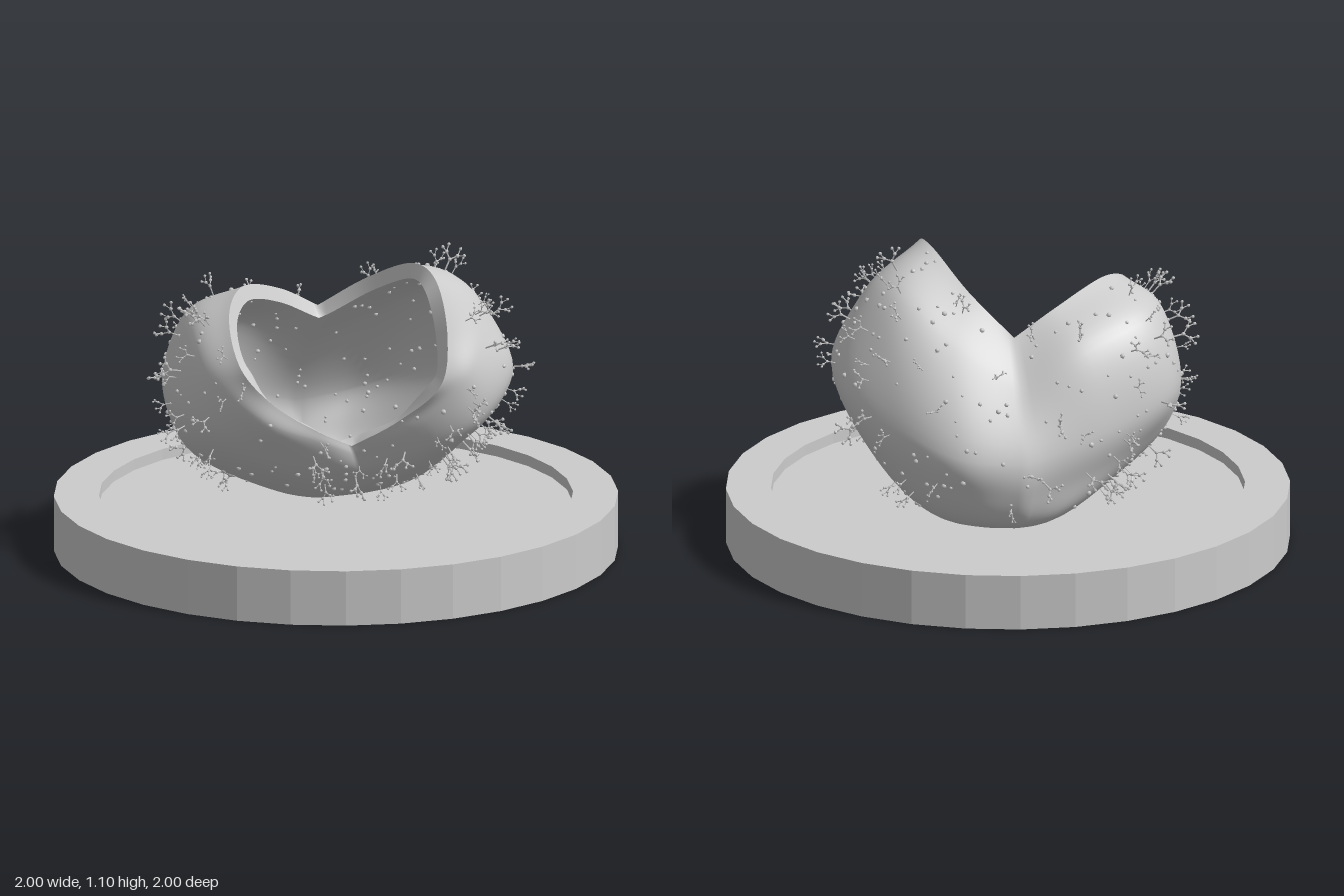
import * as THREE from 'three';
import { mergeGeometries } from 'three/addons/utils/BufferGeometryUtils.js';

const COLS = 112, ROWS = 40, WALL = 0.055;

// Control loops, clockwise from above: back notch, right lobe, front notch, left lobe
const RIM = [
  [-.14, .83, -.19], [.06, .96, -.17], [.28, 1.06, -.06], [.4, 1.03, .05], [.47, .86, .13], [.47, .7, .19], [.31, .55, .19],
  [.12, .43, .16], [.05, .51, .3], [-.07, .64, .45], [-.17, .77, .5], [-.27, .92, .36], [-.29, .98, .18], [-.23, .92, -.05]];
const SHOULDER = [
  [-.24, .66, -.3], [0, .81, -.37], [.25, .94, -.34], [.45, .92, -.22], [.54, .83, -.04], [.54, .7, .11], [.39, .54, .18],
  [.13, .39, .14], [.05, .47, .29], [-.1, .58, .47], [-.29, .73, .49], [-.42, .86, .34], [-.5, .87, .15], [-.4, .8, -.12]];
const BELLY = [
  [-.32, .44, -.38], [-.12, .47, -.53], [.15, .56, -.54], [.42, .64, -.45], [.59, .65, -.21], [.56, .54, .03], [.41, .45, .13],
  [.13, .32, .1], [.03, .38, .24], [-.13, .47, .41], [-.33, .54, .46], [-.49, .58, .36], [-.59, .6, .15], [-.5, .53, -.12]];
const HIP = [
  [-.31, .32, -.39], [-.13, .33, -.5], [.07, .36, -.52], [.29, .4, -.45], [.42, .42, -.26], [.43, .4, -.06], [.33, .34, .05],
  [.1, .27, .05], [.01, .29, .15], [-.13, .35, .3], [-.33, .39, .35], [-.46, .4, .28], [-.51, .42, .08], [-.44, .36, -.16]];
const FOOT = [
  [-.27, .2, -.35], [-.14, .2, -.42], [.01, .2, -.43], [.12, .2, -.37], [.2, .22, -.28], [.21, .22, -.17], [.15, .22, -.08],
  [.07, .22, -.01], [-.02, .21, .03], [-.1, .2, .05], [-.19, .2, .05], [-.27, .2, -.01], [-.33, .2, -.12], [-.33, .2, -.25]];
const BOTTOM = new THREE.Vector3(-.08, .12, -.2);

const grey = (opts = {}) => new THREE.MeshStandardMaterial({ color: 0xcccccc, ...opts });

function seeded(seed) {
  return () => (seed = (seed * 16807) % 2147483647) / 2147483647;
}

// Grid of points, closed around, rows running downwards
function gridGeometry(points, rows, flip) {
  const index = [];
  for (let i = 0; i < rows; i++) {
    for (let j = 0; j < COLS; j++) {
      const k = (j + 1) % COLS;
      const a = i * COLS + j, b = i * COLS + k, c = a + COLS, d = b + COLS;
      if (flip) index.push(a, c, b, b, c, d);
      else index.push(a, b, c, b, d, c);
    }
  }
  const g = new THREE.BufferGeometry().setFromPoints(points);
  g.setIndex(index);
  g.computeVertexNormals();
  return g;
}

// Each loop is two separate curves, so the notches between the lobes stay sharp
function loftPoints() {
  const half = COLS / 2;
  const loops = [RIM, SHOULDER, BELLY, HIP, FOOT].map(loop => {
    const pts = loop.map(p => new THREE.Vector3(...p));
    return [pts.slice(0, 8), [...pts.slice(7), pts[0]]].map(side => new THREE.CatmullRomCurve3(side));
  });
  const points = [];
  for (let j = 0; j < COLS; j++) {
    const side = j < half ? 0 : 1;
    const column = loops.map(l => l[side].getPoint((j % half) / half));
    const profile = new THREE.CatmullRomCurve3([...column, BOTTOM]);
    for (let i = 0; i <= ROWS; i++) points[i * COLS + j] = profile.getPoint(i / ROWS);
  }
  return points;
}

function rod(from, to, r) {
  const dir = to.clone().sub(from);
  const g = new THREE.CylinderGeometry(r, r, dir.length(), 4, 1, true);
  g.translate(0, dir.length() / 2, 0);
  g.applyQuaternion(new THREE.Quaternion().setFromUnitVectors(new THREE.Vector3(0, 1, 0), dir.normalize()));
  return g.translate(from.x, from.y, from.z);
}

function bead(p, r) {
  return new THREE.SphereGeometry(r, 5, 4).translate(p.x, p.y, p.z);
}

// Twice-forked bristle growing along +y
function bristleGeometry() {
  const root = new THREE.Vector3(0, -.01, 0), fork = new THREE.Vector3(0, .04, 0);
  const parts = [rod(root, fork, .003), bead(fork, .007)];
  for (const s of [-1, 1]) {
    const knee = new THREE.Vector3(s * .02, .06, 0);
    parts.push(rod(fork, knee, .0025), bead(knee, .007));
    for (const [dx, dy, dz] of [[.02, .01, .006], [.002, .026, -.006]]) {
      const tip = knee.clone().add(new THREE.Vector3(s * dx, dy, dz));
      parts.push(rod(knee, tip, .002), bead(tip, .006));
    }
  }
  return mergeGeometries(parts);
}

// Copies of a small geometry spread evenly over a surface, standing along its normals
function scatter(item, surface, count, seed, minSize, maxSize) {
  const rnd = seeded(seed), parts = [];
  const pos = surface.attributes.position, nor = surface.attributes.normal;
  const [p, n, across, down] = [0, 1, 2, 3].map(() => new THREE.Vector3());
  const up = new THREE.Vector3(0, 1, 0);
  while (parts.length < count) {
    const id = Math.floor((.04 + .8 * rnd()) * ROWS) * COLS + Math.floor(rnd() * (COLS - 1));
    p.fromBufferAttribute(pos, id);
    n.fromBufferAttribute(nor, id);
    across.fromBufferAttribute(pos, id + 1).sub(p);
    down.fromBufferAttribute(pos, id + COLS).sub(p);
    // Small cells are chosen less often
    if (p.y < .23 || across.cross(down).length() < rnd() * .0015) continue;
    const size = minSize + (maxSize - minSize) * rnd();
    const turn = new THREE.Quaternion().setFromAxisAngle(up, rnd() * Math.PI * 2);
    const q = new THREE.Quaternion().setFromUnitVectors(up, n).multiply(turn);
    parts.push(item.clone().applyMatrix4(
      new THREE.Matrix4().compose(p, q, new THREE.Vector3(size, size, size))));
  }
  return mergeGeometries(parts);
}

export function createModel() {
  const model = new THREE.Group();
  const add = (name, geometry, material) => {
    const mesh = new THREE.Mesh(geometry, material);
    mesh.name = name;
    model.add(mesh);
  };

  // Round stand with a recessed floor above and below
  const profile = [[0, .04], [.84, .04], [.84, 0], [1, 0], [1, .2], [.84, .2], [.84, .16], [0, .16]];
  add('stand', new THREE.LatheGeometry(profile.map(p => new THREE.Vector2(...p)), 32),
    grey({ flatShading: true }));

  // Two-lobed open shell: outer wall, inner wall and the rim joining them
  const outerPoints = loftPoints();
  const outer = gridGeometry(outerPoints, ROWS, false);
  const n = new THREE.Vector3();
  const innerPoints = outerPoints.map((p, i) =>
    p.clone().addScaledVector(n.fromBufferAttribute(outer.attributes.normal, i), -WALL));
  const inner = gridGeometry(innerPoints, ROWS, true);
  const rim = gridGeometry([...innerPoints.slice(0, COLS), ...outerPoints.slice(0, COLS)], 1, false);
  add('outerWall', outer, grey());
  add('innerWall', inner, grey());
  add('rim', rim, grey({ side: THREE.DoubleSide }));

  // Forked bristles outside, small grains on both faces
  const grain = new THREE.SphereGeometry(.008, 6, 4);
  add('bristles', scatter(bristleGeometry(), outer, 105, 71, .6, 1.1), grey({ side: THREE.DoubleSide }));
  add('outerGrains', scatter(grain, outer, 220, 1234, .6, 1.3), grey());
  add('innerGrains', scatter(grain, inner, 260, 4321, .6, 1.2), grey());
  return model;
}
